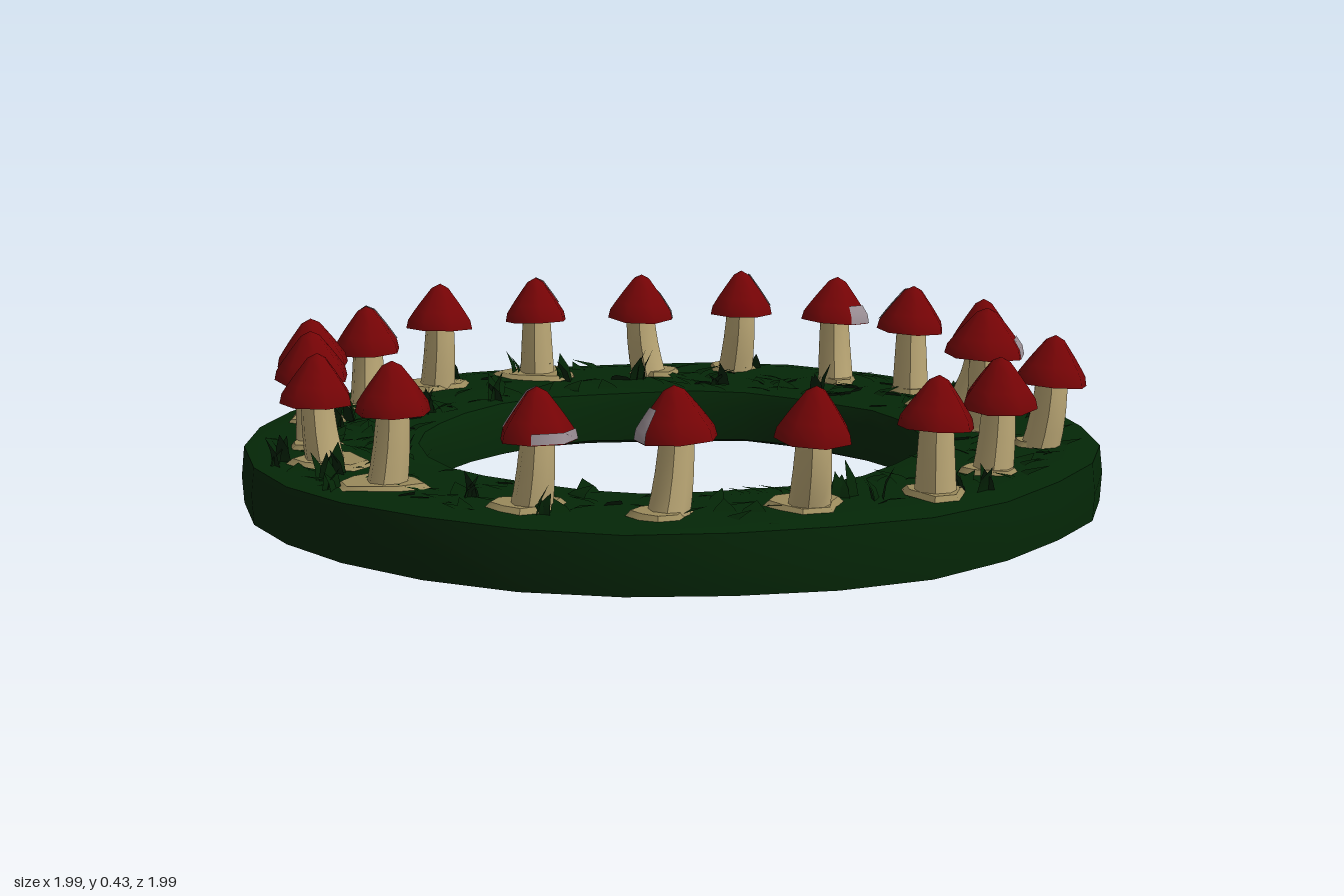
import * as THREE from 'three';
import { mergeGeometries, toCreasedNormals } from 'three/addons/utils/BufferGeometryUtils.js';

const mat = (name, color, side = THREE.FrontSide) => {
  const m = new THREE.MeshStandardMaterial({ color, side });
  m.name = name;
  return m;
};

function seeded(seed) {
  return () => {
    seed = (seed * 16807) % 2147483647;
    return seed / 2147483647;
  };
}

// Moves every vertex by a rule
function warp(geo, rule) {
  const p = geo.attributes.position, v = new THREE.Vector3();
  for (let i = 0; i < p.count; i++) {
    rule(v.fromBufferAttribute(p, i));
    p.setXYZ(i, v.x, v.y, v.z);
  }
  geo.computeVertexNormals();
  return geo;
}

// Cap x, z, top height, foot offset x, z, foot size
const MUSHROOMS = [
  [0.10, -0.85, 0.41, -0.03, -0.04, 0.07],
  [0.35, -0.76, 0.41, 0.01, 0.02, 0.06],
  [0.55, -0.62, 0.41, 0, 0, 0.06],
  [0.73, -0.42, 0.41, -0.09, -0.03, 0.105],
  [0.73, -0.15, 0.43, 0.01, 0, 0.06],
  [0.88, 0.05, 0.40, -0.04, -0.02, 0.05],
  [0.755, 0.34, 0.40, -0.02, 0, 0.07],
  [0.62, 0.59, 0.40, 0, -0.01, 0.08],
  [0.37, 0.78, 0.41, -0.02, -0.07, 0.1],
  [0.09, 0.81, 0.41, -0.03, 0.02, 0.075],
  [-0.20, 0.80, 0.40, -0.03, -0.02, 0.085],
  [-0.54, 0.61, 0.415, -0.03, 0, 0.105],
  [-0.755, 0.39, 0.39, 0.03, 0, 0.1],
  [-0.82, 0.15, 0.40, 0.02, 0.06, 0.075],
  [-0.87, -0.085, 0.39, 0, -0.01, 0.085],
  [-0.78, -0.29, 0.39, 0, 0.02, 0.06],
  [-0.645, -0.54, 0.41, -0.02, -0.02, 0.09],
  [-0.425, -0.735, 0.40, 0, -0.01, 0.11],
  [-0.16, -0.80, 0.405, 0.04, -0.01, 0.07],
];

// Pale worn patches: mushroom number, direction, first and last profile point, facets covered
const PATCHES = [
  [1, 2.3, 1, 4, 1], [2, 0.6, 0, 2, 1], [3, -1.7, 1, 4, 1], [5, 1.6, 0, 2, 1],
  [10, -1.4, 0, 3, 1], [11, -2.2, 1, 5, 1], [11, 0.9, 0, 1, 2], [15, 3.1, 2, 4, 1],
  [16, 3.2, 1, 5, 2], [18, 2.7, 2, 5, 1], [19, 2.3, 0, 3, 1],
];

const CAP = [[0.086, -0.008], [0.081, 0.014], [0.066, 0.036], [0.05, 0.058], [0.022, 0.094], [0, 0.105]];
const capProfile = (grow = 0) => CAP.map(([r, y]) => new THREE.Vector2(r ? r + grow : 0, y + grow));

export function createModel() {
  const rnd = seeded(4711);
  const moss = mat('dark moss green', 0x042707);
  const grassMat = mat('grass green', 0x042506, THREE.DoubleSide);
  const red = mat('cap red', 0x760406);
  const tan = mat('stem tan', 0xbfab78);
  const footTan = mat('foot tan', 0x9a8a5c);
  const pale = mat('gill grey', 0x9c9096, THREE.DoubleSide);

  const root = new THREE.Group();
  root.name = 'mushroomRing';
  const add = (parent, name, geo, material) => {
    const m = new THREE.Mesh(geo, material);
    m.name = name;
    parent.add(m);
    return m;
  };

  // Turf ring with upright walls and an uneven rim
  const section = [[0.572, 0.015], [0.61, 0.003], [0.95, 0.003], [0.993, 0.008], [0.997, 0.07], [0.99, 0.138],
    [0.93, 0.144], [0.8, 0.14], [0.66, 0.14], [0.59, 0.134], [0.572, 0.1], [0.572, 0.015]]
    .map(([r, y]) => new THREE.Vector2(r, y));
  const ring = warp(new THREE.LatheGeometry(section, 28), (v) => {
    const a = Math.atan2(v.x, v.z);
    const k = 1 + 0.004 * Math.sin(9 * a + 1) + 0.004 * Math.sin(5 * a);
    v.x *= k;
    v.z *= k;
    v.y += 0.003 * Math.sin(7 * a + v.y * 40);
  });
  add(root, 'turfRing', toCreasedNormals(ring, 0.8), moss);

  // Bent grass blades: broad ones lying flat, and a few upright tufts
  const blades = [];
  const addBlade = (a, r, h, lean, w) => {
    const blade = warp(new THREE.PlaneGeometry(2 * w, 1, 1, 2), (v) => {
      const t = v.y + 0.5;
      v.set(v.x * (1 - t * t), t * h, lean * t * t);
    });
    blade.rotateY(rnd() * Math.PI * 2);
    blade.translate(Math.sin(a) * r, 0.137, Math.cos(a) * r);
    blades.push(blade);
  };
  for (let i = 0; i < 260; i++) {
    addBlade(rnd() * Math.PI * 2, 0.62 + 0.3 * rnd(), 0.01 + 0.015 * rnd(), 0.05 + 0.03 * rnd(), 0.015 + 0.015 * rnd());
  }
  for (let i = 0; i < 34; i++) {
    const a = rnd() * Math.PI * 2, r = 0.62 + 0.33 * rnd();
    for (let j = 0; j < 3; j++) {
      addBlade(a + 0.05 * (rnd() - 0.5), r, 0.03 + 0.05 * rnd(), 0.025, 0.014 + 0.01 * rnd());
    }
  }
  add(root, 'grassBlades', mergeGeometries(blades), grassMat);

  // Mushrooms
  MUSHROOMS.forEach(([x, z, top, fx, fz, foot], i) => {
    const g = new THREE.Group();
    g.name = 'mushroom' + (i + 1);
    g.position.set(x, 0, z);
    root.add(g);
    const rim = top - 0.105;
    const turn = rnd() * 6;

    // Stem curving down towards its foot
    const len = rim + 0.02 - 0.13;
    const stem = warp(new THREE.CylinderGeometry(0.035, 0.046, len, 8, 4, true), (v) => {
      const t = 0.5 - v.y / len;
      v.x += fx * 0.6 * t * t;
      v.z += fz * 0.6 * t * t;
    });
    add(g, 'stem', stem, tan).position.y = 0.13 + len / 2;

    // Ragged flat foot spreading over the turf
    const base = warp(new THREE.CylinderGeometry(foot * 0.85, foot, 0.012, 9), (v) => {
      const a = Math.atan2(v.x, v.z);
      const k = 0.9 + 0.14 * Math.sin(3 * a + turn) + 0.1 * Math.sin(2 * a + i);
      v.x *= k;
      v.z *= k;
    });
    add(g, 'foot', base, footTan).position.set(fx, 0.147, fz);

    // Conical cap with pale gills underneath
    const cap = new THREE.Group();
    cap.name = 'cap';
    cap.position.y = rim;
    cap.rotation.set((rnd() - 0.5) * 0.16, 0, (rnd() - 0.5) * 0.16);
    const s = i === 4 ? 1.12 : 0.94 + 0.1 * rnd();
    cap.scale.set(s, 1, s);
    g.add(cap);
    add(cap, 'capTop', new THREE.LatheGeometry(capProfile(), 7, turn), red);
    const gills = [[0, 0.014], [0.035, 0.012], [0.085, -0.007]].map(([r, y]) => new THREE.Vector2(r, y));
    add(cap, 'gills', new THREE.LatheGeometry(gills, 7, turn), pale);

    // Pale worn patches, aligned with the cap facets
    const step = Math.PI * 2 / 7;
    for (const [, dir, from, to, n] of PATCHES.filter((p) => p[0] === i + 1)) {
      const start = turn + Math.round((dir - turn) / step - n / 2) * step;
      const strip = capProfile(0.002).slice(from, to + 1);
      add(cap, 'palePatch', new THREE.LatheGeometry(strip, n, start, n * step), pale);
    }
  });
  return root;
}
